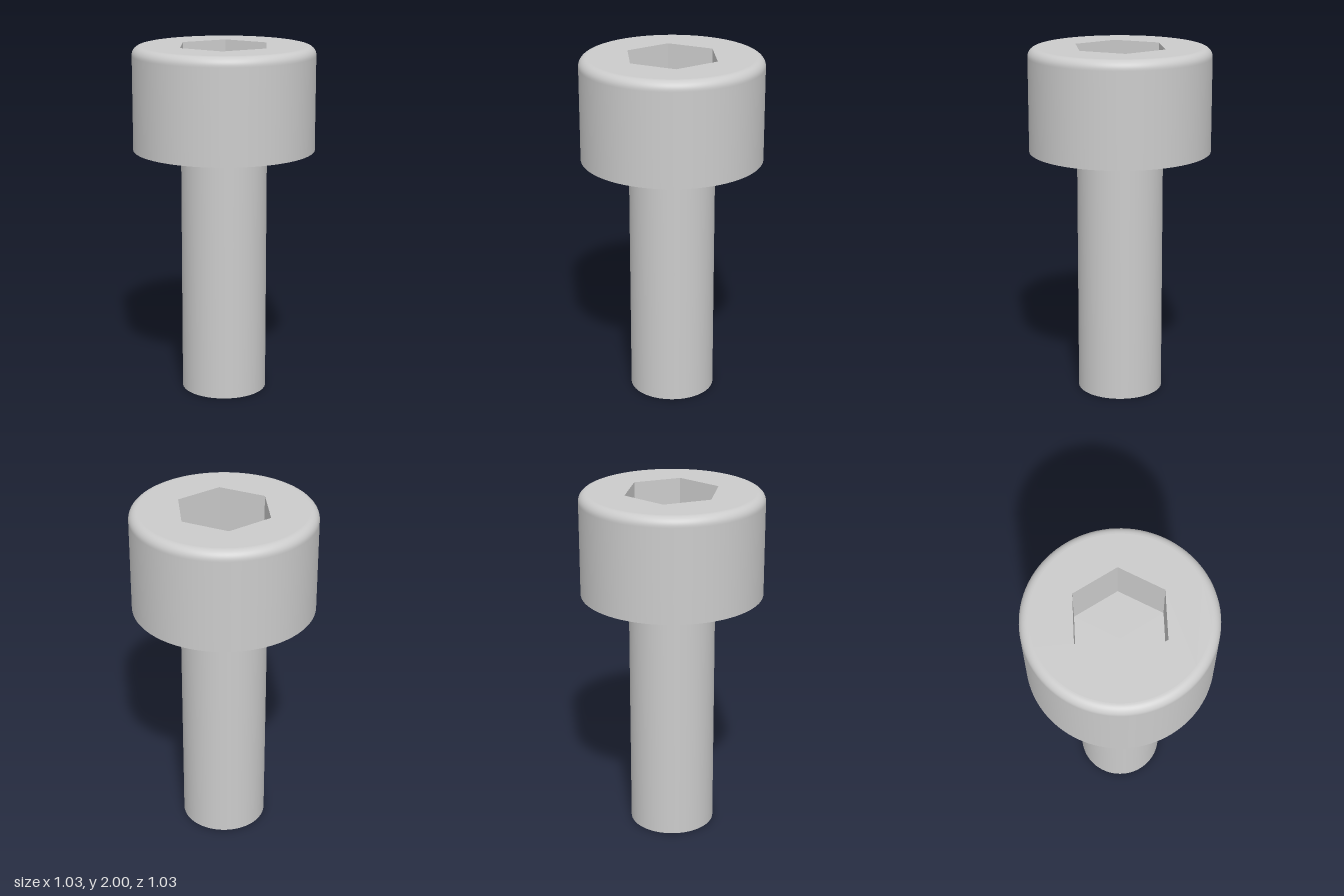
import * as THREE from 'three';

const SEGMENTS = 96;
const HEAD_R = 0.513, HEAD_BOTTOM = 1.415, TOP = 2, FILLET = 0.05;
const SHANK_R = 0.243;
const SOCKET_R = 0.273, SOCKET_DEPTH = 0.3;

export function createModel() {
  const group = new THREE.Group();
  const material = new THREE.MeshStandardMaterial({ color: 0xcccccc });
  const flatMaterial = new THREE.MeshStandardMaterial({ color: 0xcccccc, flatShading: true });

  const add = (name, geometry, mat = material) => {
    const mesh = new THREE.Mesh(geometry, mat);
    mesh.name = name;
    group.add(mesh);
    return mesh;
  };

  // Head wall, rounded over at the top
  const wall = [
    new THREE.Vector2(HEAD_R, HEAD_BOTTOM),
    new THREE.Vector2(HEAD_R, TOP - FILLET - 0.005),
  ];
  for (let i = 0; i <= 10; i++) {
    const a = (i / 10) * Math.PI / 2;
    wall.push(new THREE.Vector2(
      HEAD_R - FILLET + FILLET * Math.cos(a),
      TOP - FILLET + FILLET * Math.sin(a)));
  }
  add('headWall', new THREE.LatheGeometry(wall, SEGMENTS));

  // Flat head top with the hexagonal opening
  const face = new THREE.Shape();
  face.absarc(0, 0, HEAD_R - FILLET, 0, Math.PI * 2);
  const hexagon = [];
  for (let i = 0; i < 6; i++) {
    const a = i * Math.PI / 3;
    hexagon.push(new THREE.Vector2(SOCKET_R * Math.cos(a), SOCKET_R * Math.sin(a)));
  }
  face.holes.push(new THREE.Path(hexagon));
  add('headTop', new THREE.ShapeGeometry(face, SEGMENTS / 2).rotateX(-Math.PI / 2).translate(0, TOP, 0));

  // Socket walls and floor, facing inward
  const socket = [
    new THREE.Vector2(SOCKET_R, TOP),
    new THREE.Vector2(SOCKET_R, TOP - SOCKET_DEPTH),
    new THREE.Vector2(0, TOP - SOCKET_DEPTH),
  ];
  add('hexSocket', new THREE.LatheGeometry(socket, 6, Math.PI / 6), flatMaterial);

  // Underside of the head around the shank
  add('headUnderside', new THREE.RingGeometry(SHANK_R, HEAD_R, SEGMENTS)
    .rotateX(Math.PI / 2).translate(0, HEAD_BOTTOM, 0));

  // Shank and its flat end
  add('shank', new THREE.CylinderGeometry(SHANK_R, SHANK_R, HEAD_BOTTOM, SEGMENTS, 1, true)
    .translate(0, HEAD_BOTTOM / 2, 0));
  add('shankEnd', new THREE.CircleGeometry(SHANK_R, SEGMENTS).rotateX(Math.PI / 2));

  return group;
}
